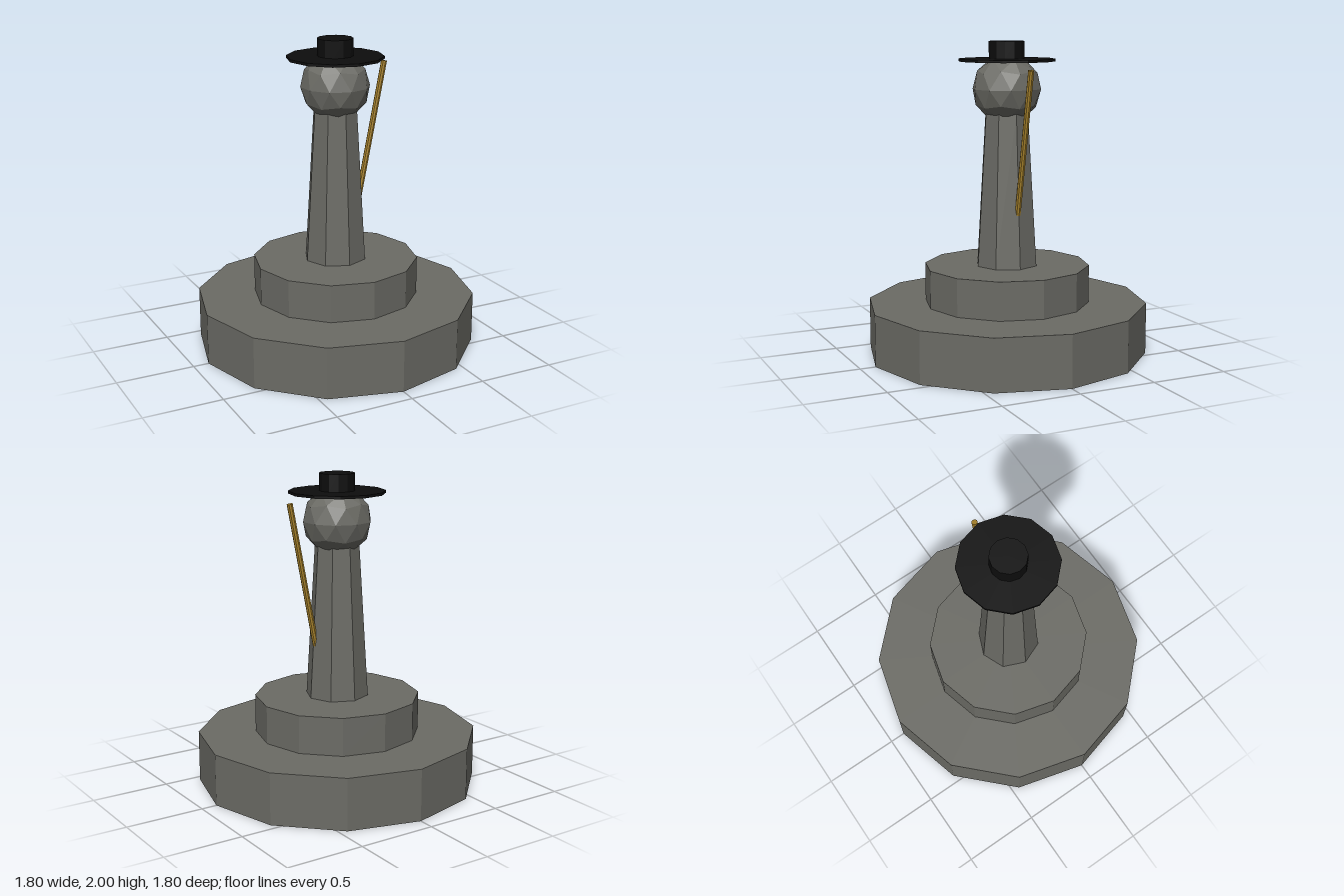
import * as THREE from 'three';

const material = (name, color) => {
  const m = new THREE.MeshStandardMaterial({ color, flatShading: true });
  m.name = name;
  return m;
};

export function createModel() {
  const group = new THREE.Group();
  const stone = material('grey stone', 0x6b6b65);
  const black = material('black felt', 0x0d0d0d);
  const gold = material('dull gold', 0xa8832c);

  const add = (name, geometry, mat) => {
    const mesh = new THREE.Mesh(geometry, mat);
    mesh.name = name;
    group.add(mesh);
    return mesh;
  };

  // Upright faceted drum between two heights
  const drum = (name, mat, y0, y1, rBottom, rTop, sides) => {
    const mesh = add(name, new THREE.CylinderGeometry(rTop, rBottom, y1 - y0, sides), mat);
    mesh.position.y = (y0 + y1) / 2;
    return mesh;
  };

  // Stepped pedestal and tapered body
  drum('lowerPlinth', stone, 0, 0.33, 0.9, 0.9, 12);
  drum('upperPlinth', stone, 0.33, 0.573, 0.53, 0.53, 12);
  drum('body', stone, 0.573, 1.55, 0.202, 0.143, 8);

  // Faceted head, turned so that a vertex points straight up
  const head = add('head', new THREE.IcosahedronGeometry(0.22, 1), stone);
  head.rotation.z = -Math.atan(2 / (1 + Math.sqrt(5)));
  head.position.y = 1.7;

  // Hat
  drum('hatBrim', black, 1.873, 1.89, 0.306, 0.306, 12);
  drum('hatCrown', black, 1.89, 2, 0.113, 0.113, 12);

  // Staff leaning out from the left side, its foot sunk in the body
  const foot = new THREE.Vector3(0.145, 0.83, 0);
  const tip = new THREE.Vector3(0.347, 1.83, 0);
  const axis = tip.clone().sub(foot);
  const staff = add('staff', new THREE.CylinderGeometry(0.019, 0.019, axis.length(), 8), gold);
  staff.position.copy(foot).add(tip).multiplyScalar(0.5);
  staff.quaternion.setFromUnitVectors(new THREE.Vector3(0, 1, 0), axis.normalize());

  return group;
}
